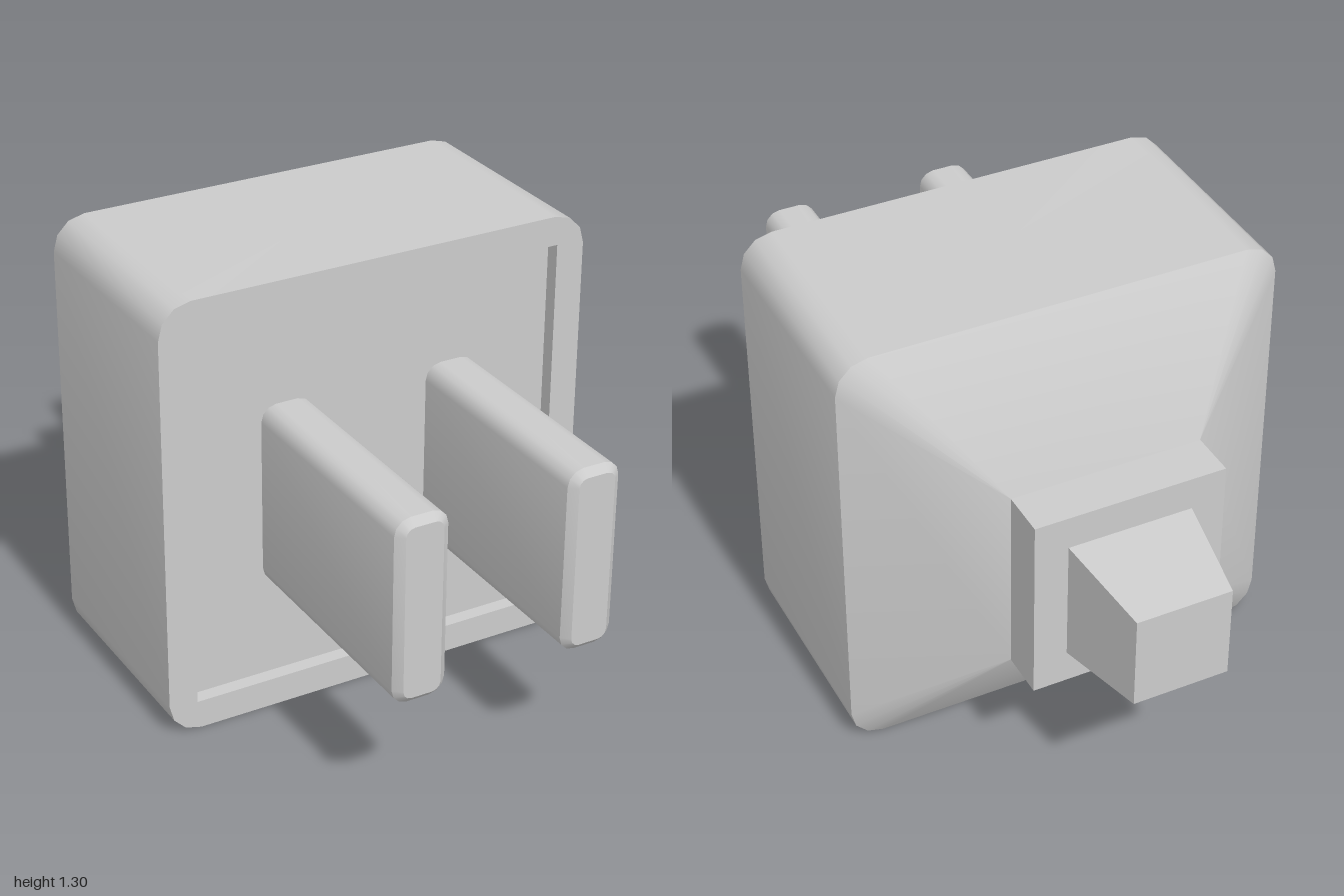
import * as THREE from 'three';
import { toCreasedNormals } from 'three/addons/utils/BufferGeometryUtils.js';

const ARC = 3; // segments per rounded corner

// Rounded-rectangle ring (half width, half height, corner radius) at depth z
function ring(w, h, r, z) {
  const points = [];
  for (let corner = 0; corner < 4; corner++) {
    const sx = corner === 0 || corner === 3 ? 1 : -1;
    const sy = corner < 2 ? 1 : -1;
    for (let i = 0; i <= ARC; i++) {
      const a = (corner + i / ARC) * Math.PI / 2;
      points.push(new THREE.Vector3(sx * (w - r) + r * Math.cos(a), sy * (h - r) + r * Math.sin(a), z));
    }
  }
  return points;
}

// Skin a list of rings running from front to back and cap both ends
function loft(rings) {
  const positions = [];
  const tri = (a, b, c) => {
    const area = new THREE.Vector3().subVectors(b, a).cross(new THREE.Vector3().subVectors(c, a)).length();
    if (area > 1e-7) for (const p of [a, b, c]) positions.push(p.x, p.y, p.z);
  };
  const n = rings[0].length;
  for (let i = 0; i < rings.length - 1; i++) {
    for (let j = 0; j < n; j++) {
      const k = (j + 1) % n;
      const [a, b, c, d] = [rings[i][j], rings[i][k], rings[i + 1][j], rings[i + 1][k]];
      tri(a, c, b);
      tri(b, c, d);
    }
  }
  const first = rings[0], last = rings[rings.length - 1];
  for (let j = 1; j < n - 1; j++) {
    tri(first[0], first[j], first[j + 1]);
    tri(last[0], last[j + 1], last[j]);
  }
  const geometry = new THREE.BufferGeometry();
  geometry.setAttribute('position', new THREE.Float32BufferAttribute(positions, 3));
  return toCreasedNormals(geometry, THREE.MathUtils.degToRad(36));
}

export function createModel() {
  const model = new THREE.Group();
  model.name = 'plug';
  const material = new THREE.MeshStandardMaterial({ color: 0xcccccc });
  const centerY = 0.648;
  const add = (name, geometry, x = 0, z = 0) => {
    const mesh = new THREE.Mesh(geometry, material);
    mesh.name = name;
    mesh.position.set(x, centerY, z);
    model.add(mesh);
  };

  // Housing: recessed front panel, rim, straight sides, tapered back
  add('housing', loft([
    ring(0.563, 0.563, 0, 0.29),
    ring(0.563, 0.563, 0, 0.333),
    ring(0.648, 0.648, 0.095, 0.333),
    ring(0.648, 0.648, 0.095, -0.313),
    ring(0.28, 0.28, 0, -0.572),
  ]));

  // Collar and tapered cable stub
  add('collar', new THREE.BoxGeometry(0.56, 0.56, 0.137), 0, -0.6405);
  add('cableStub', loft([
    ring(0.182, 0.182, 0, -0.709),
    ring(0.139, 0.139, 0, -1),
  ]));

  // Two flat prongs with bevelled tips
  const prong = loft([
    ring(0.055, 0.249, 0.025, 1),
    ring(0.078, 0.27, 0.046, 0.98),
    ring(0.078, 0.27, 0.046, 0.285),
  ]);
  add('leftProng', prong, 0.255);
  add('rightProng', prong, -0.255);

  return model;
}
